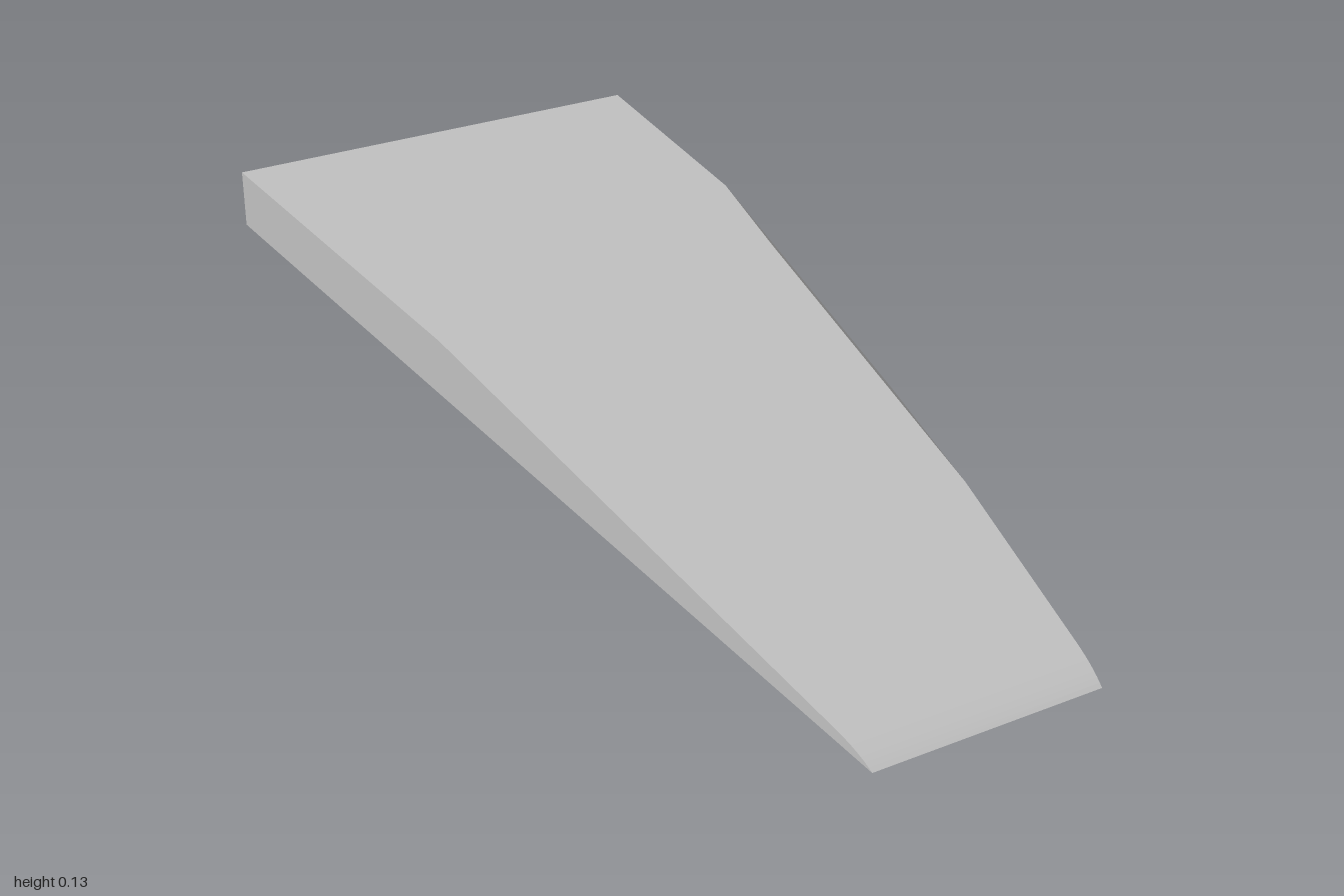
import * as THREE from 'three';
import { ConvexGeometry } from 'three/addons/geometries/ConvexGeometry.js';

const v = (x, y, z) => new THREE.Vector3(x, y, z);

export function createModel() {
  const grey = new THREE.MeshStandardMaterial({ color: 0xc0c0c0 });
  grey.name = 'plain grey';

  // Raised back block, ramp crease, chamfer and undercut on the left flank
  const points = [
    v(-0.485, 0, -1), v(-0.485, 0.13, -1),            // back right corner
    v(0.355, 0, -1), v(0.355, 0.13, -1),              // back left corner
    v(-0.3, 0.13, -0.275), v(0.43, 0.13, -0.34),      // crease where the ramp starts
    v(0.43, 0.13, -0.58), v(0.485, 0.064, 0.1),       // upper edge of the undercut
    v(0.485, 0.064, 0.42), v(0.485, 0, 0.45),         // chamfer tip and undercut foot
  ];

  // Rounded nose, swept between the two flanks
  const nose = new THREE.QuadraticBezierCurve(
    new THREE.Vector2(0, 0), new THREE.Vector2(0.035, 0.0201), new THREE.Vector2(0.1, 0.0259));
  for (const { x: d, y } of nose.getPoints(8)) {
    points.push(v(0.025 - 0.255 * d, y, 1 - d), v(0.485, y, 0.955 - d));
  }

  const wedge = new THREE.Mesh(new ConvexGeometry(points), grey);
  wedge.name = 'wedgeRamp';
  const group = new THREE.Group();
  group.name = 'taperedWedge';
  group.add(wedge);
  return group;
}
